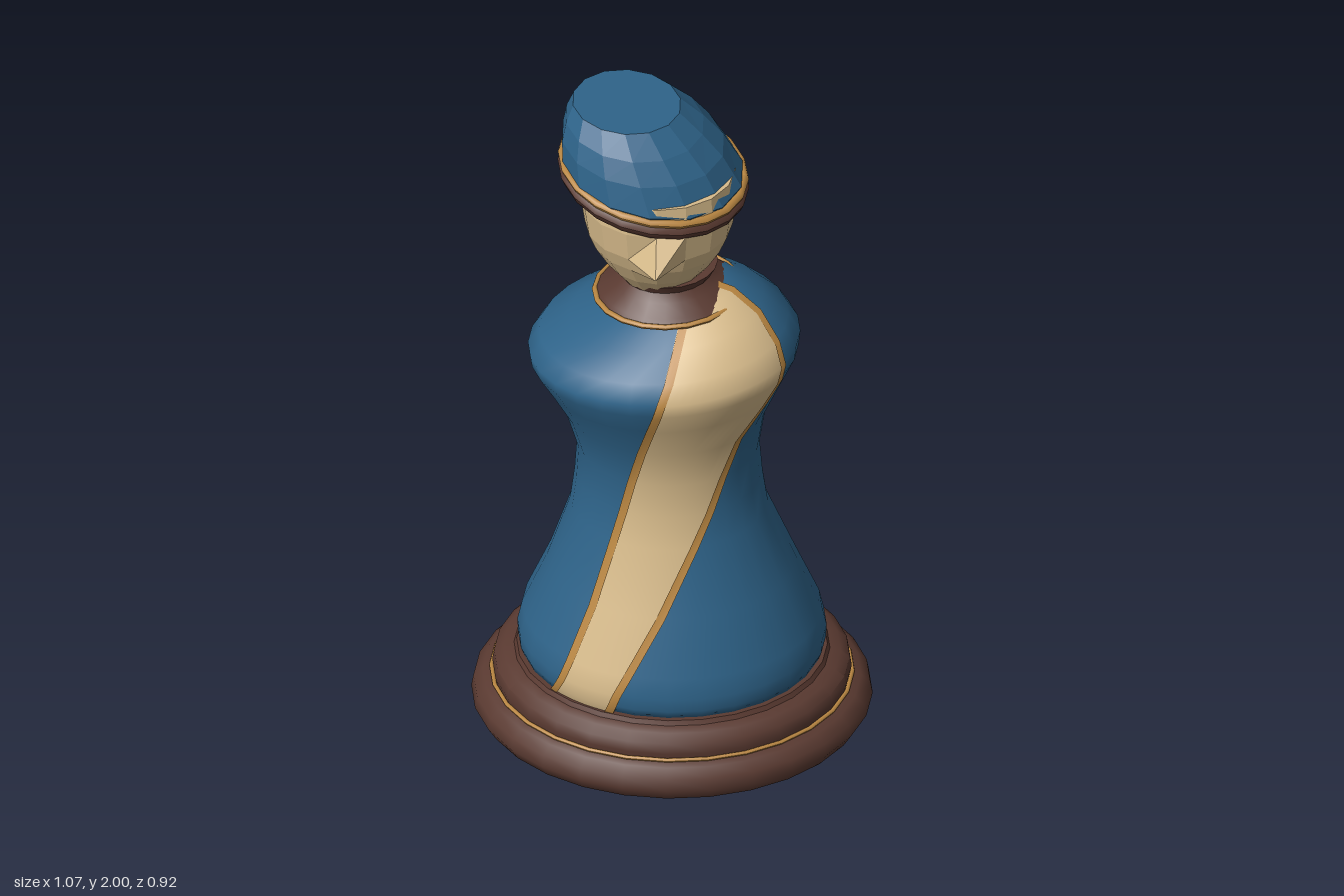
import * as THREE from 'three';
import { toCreasedNormals } from 'three/addons/utils/BufferGeometryUtils.js';

const paint = (name, color) => {
  const m = new THREE.MeshStandardMaterial({ color });
  m.name = name;
  return m;
};

// Ring: [x, y, z, radiusX, radiusZ, slopeX, slopeZ]; angle 0 is the front, rising towards +x
function ringPoint(r, a, out = 0) {
  const x = (r[3] + out) * Math.sin(a), z = (r[4] + out) * Math.cos(a);
  return [r[0] + x, r[1] + r[5] * x + r[6] * z, r[2] + z];
}

// Skin stacked rings, bottom to top, closing both ends
function loft(rings, seg, adjust) {
  const pos = [], index = [];
  rings.forEach((r, i) => {
    for (let j = 0; j < seg; j++) {
      const p = ringPoint(r, (j / seg) * Math.PI * 2);
      if (adjust) adjust(p, i, j);
      pos.push(...p);
    }
  });
  const n = rings.length, bottom = n * seg, top = bottom + 1;
  pos.push(...rings[0].slice(0, 3), ...rings[n - 1].slice(0, 3));
  for (let j = 0; j < seg; j++) {
    const k = (j + 1) % seg, t = (n - 1) * seg;
    for (let i = 0; i < n - 1; i++) {
      const a = i * seg + j, b = i * seg + k;
      index.push(a, b, b + seg, a, b + seg, a + seg);
    }
    index.push(bottom, k, j, top, t + j, t + k);
  }
  const g = new THREE.BufferGeometry();
  g.setAttribute('position', new THREE.Float32BufferAttribute(pos, 3));
  g.setIndex(index);
  g.computeVertexNormals();
  return g;
}

function flat(g) {
  const f = g.toNonIndexed();
  f.computeVertexNormals();
  return f;
}

// Elliptical ring of round section, sheared to follow a slope
function hoop(rx, rz, tube, slopeX = 0, slopeZ = 0, seg = 28) {
  const g = new THREE.TorusGeometry(rx, tube, 8, seg);
  g.rotateX(Math.PI / 2);
  g.scale(1, 1, rz / rx);
  const p = g.attributes.position;
  for (let i = 0; i < p.count; i++) p.setY(i, p.getY(i) + slopeX * p.getX(i) + slopeZ * p.getZ(i));
  g.computeVertexNormals();
  return g;
}

function lathe(points, seg, depth) {
  const g = new THREE.LatheGeometry(points.map(([x, y]) => new THREE.Vector2(x, y)), seg);
  g.scale(1, 1, depth);
  return toCreasedNormals(g, 0.75);
}

// Robe rings: [y, centreX, radiusX, radiusZ, slopeX, sash left angle, sash right angle]
const ROBE = [
  [0.212, 0, 0.4, 0.343, 0, -0.89, -0.37],
  [0.24, 0, 0.411, 0.353, 0, -0.83, -0.34],
  [0.28, 0, 0.413, 0.354, 0, -0.775, -0.305],
  [0.34, 0, 0.4, 0.342, 0, -0.734, -0.24],
  [0.5, 0, 0.333, 0.285, 0, -0.68, -0.03],
  [0.69, -0.008, 0.264, 0.226, 0, -0.595, 0.32],
  [0.79, -0.009, 0.251, 0.215, 0, -0.51, 0.51],
  [0.89, -0.01, 0.244, 0.208, 0, -0.42, 0.69],
  [1.01, -0.018, 0.27, 0.233, 0.01, -0.25, 0.85],
  [1.12, -0.02, 0.323, 0.28, 0.04, -0.125, 1.01],
  [1.19, -0.021, 0.359, 0.308, 0.06, -0.06, 1.06],
  [1.23, -0.021, 0.364, 0.313, 0.075, -0.03, 1.09],
  [1.283, -0.022, 0.333, 0.288, 0.09, 0.03, 1.16],
  [1.34, -0.016, 0.26, 0.22, 0.16, 0.09, 1.25],
  [1.383, -0.01, 0.172, 0.145, 0.24, 0.2, 1.35],
  [1.41, -0.01, 0.11, 0.1, 0.25, 0.25, 1.4],
];
const robeRing = (r) => [r[1], r[0], 0, r[2], r[3], r[4], 0];

// Strip lying on the robe between two angles given per row
function robeStrip(range, out, cols) {
  const pos = [], index = [];
  ROBE.forEach((r, i) => {
    const [a0, a1] = range(r);
    for (let j = 0; j <= cols; j++) {
      pos.push(...ringPoint(robeRing(r), a0 + ((a1 - a0) * j) / cols, out));
      if (i && j) {
        const d = i * (cols + 1) + j, b = d - cols - 1;
        index.push(b - 1, b, d, b - 1, d, d - 1);
      }
    }
  });
  const g = new THREE.BufferGeometry();
  g.setAttribute('position', new THREE.Float32BufferAttribute(pos, 3));
  g.setIndex(index);
  g.computeVertexNormals();
  return g;
}

export function createModel() {
  const model = new THREE.Group();
  model.name = 'gamePiece';
  const blue = paint('blue', 0x2e6389);
  const cream = paint('cream', 0xd8bc8c);
  const brown = paint('brown', 0x5a3a31);
  const gold = paint('gold', 0xba8742);
  cream.side = gold.side = THREE.DoubleSide;

  const add = (name, geometry, material, x = 0, y = 0, z = 0) => {
    const m = new THREE.Mesh(geometry, material);
    m.name = name;
    m.position.set(x, y, z);
    model.add(m);
    return m;
  };

  // Oval plinth with a gold line
  add('base', lathe([[0, 0], [0.47, 0], [0.515, 0.02], [0.536, 0.055], [0.53, 0.09], [0.505, 0.115],
    [0.475, 0.123], [0.48, 0.145], [0.475, 0.175], [0.45, 0.195], [0.422, 0.202], [0.415, 0.215], [0, 0.216]], 28, 0.86), brown);
  add('baseTrim', hoop(0.482, 0.4145, 0.006), gold, 0, 0.126);

  // Robe and sash
  add('robe', loft(ROBE.map(robeRing), 28), blue);
  const edge = (r) => 0.024 / r[2];
  add('sash', robeStrip((r) => [r[5], r[6]], 0.005, 14), cream);
  add('sashLeftTrim', robeStrip((r) => [r[6] - edge(r), r[6]], 0.009, 2), gold);
  add('sashRightTrim', robeStrip((r) => [r[5], r[5] + edge(r)], 0.009, 2), gold);

  // Collar
  const collar = add('collar', lathe([[0.12, -0.045], [0.175, -0.025], [0.195, 0], [0.18, 0.014], [0.14, 0.04],
    [0.122, 0.062], [0.138, 0.09], [0.1, 0.094], [0, 0.094]], 20, 0.9), brown, -0.012, 1.392);
  collar.rotation.z = 0.035;
  add('collarTrim', hoop(0.194, 0.178, 0.008, 0.035, 0, 20), gold, -0.012, 1.392);

  // Faceted head, with the front vertex of one ring drawn out as the nose
  const HEAD = [[1.435, 0.085], [1.51, 0.143], [1.57, 0.178], [1.62, 0.198], [1.71, 0.211], [1.8, 0.205]];
  add('head', flat(loft(HEAD.map(([y, r]) => [-0.035, y, 0.01, r, r * 0.94, 0, 0]), 16, (p, i, j) => {
    if (i === 3 && j === 0) p[2] = 0.277;
  })), cream);

  // Tilted cap: brown band, gold piping, leaning crown
  add('capBand', hoop(0.23, 0.207, 0.026, -0.16, -0.14, 20), brown, -0.05, 1.766, -0.01);
  add('capTrim', hoop(0.243, 0.217, 0.012, -0.16, -0.14, 20), gold, -0.05, 1.792, -0.01);
  add('capCrown', flat(loft([
    [-0.05, 1.78, -0.01, 0.235, 0.21, -0.16, -0.14],
    [-0.052, 1.805, -0.01, 0.245, 0.22, -0.15, -0.13],
    [-0.078, 1.88, -0.013, 0.22, 0.198, -0.09, -0.1],
    [-0.1, 1.937, -0.02, 0.187, 0.172, -0.08, -0.1],
    [-0.122, 1.986, -0.03, 0.146, 0.131, -0.06, -0.08],
  ], 14)), blue);

  return model;
}
